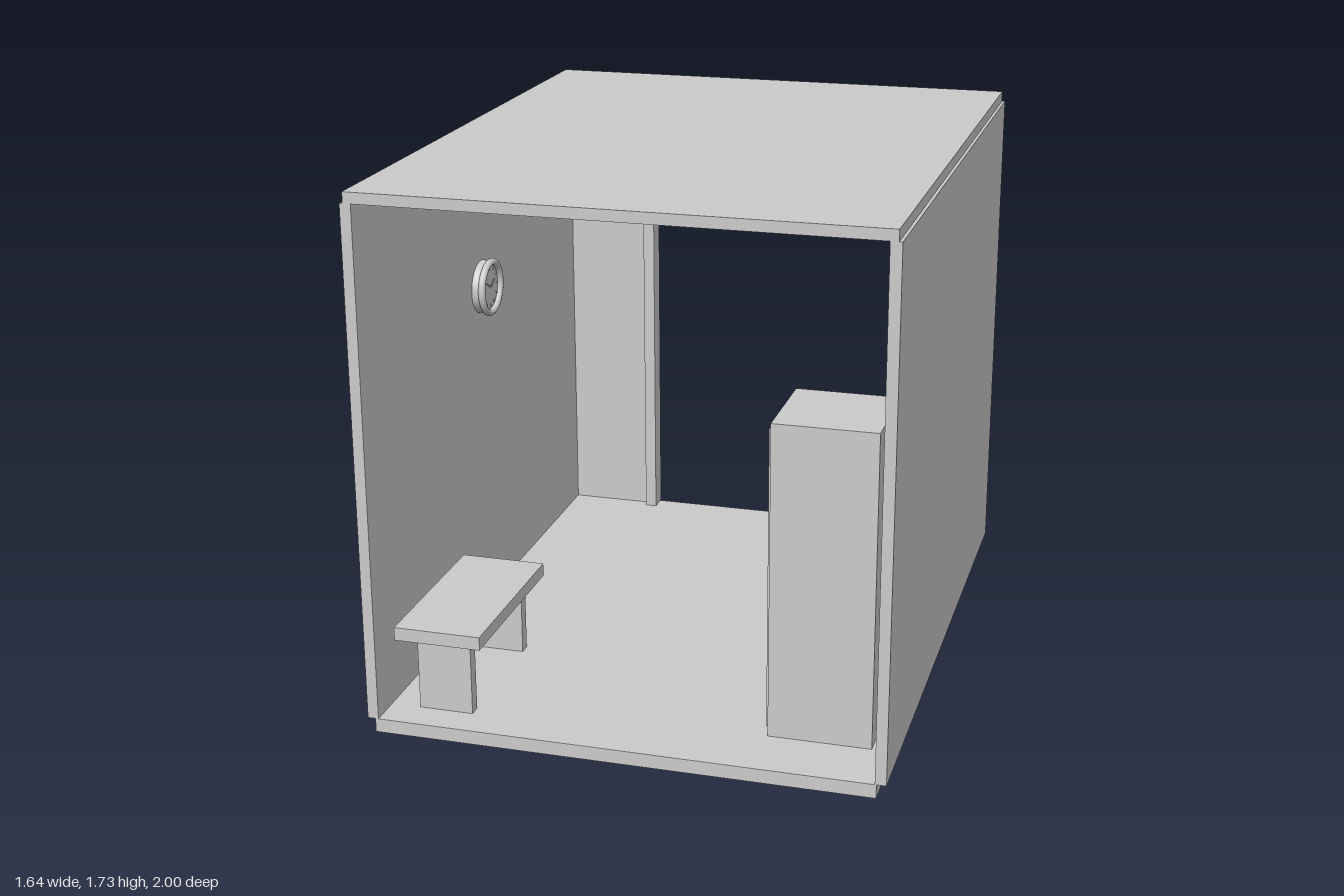
import * as THREE from 'three';

export function createModel() {
  const room = new THREE.Group();
  room.name = 'changingRoom';
  const grey = new THREE.MeshStandardMaterial({ color: 0xcccccc });
  const warm = new THREE.MeshStandardMaterial({ color: 0xe6cf9c });

  const add = (parent, name, geometry, x, y, z, material = grey) => {
    const mesh = new THREE.Mesh(geometry, material);
    mesh.name = name;
    mesh.position.set(x, y, z);
    parent.add(mesh);
    return mesh;
  };
  // Box given by its limits on each axis
  const box = (parent, name, [x0, x1], [y0, y1], [z0, z1]) =>
    add(parent, name, new THREE.BoxGeometry(x1 - x0, y1 - y0, z1 - z0),
      (x0 + x1) / 2, (y0 + y1) / 2, (z0 + z1) / 2);
  const group = (name) => {
    const g = new THREE.Group();
    g.name = name;
    room.add(g);
    return g;
  };

  // Shell: floor, roof and two-panel side walls
  box(room, 'floor', [-0.795, 0.79], [0, 0.045], [-0.99, 1]);
  box(room, 'roof', [-0.81, 0.81], [1.69, 1.725], [-0.99, 1]);
  for (const [side, x0, x1] of [['right', -0.82, -0.785], ['left', 0.785, 0.82]]) {
    box(room, side + 'LowerWall', [x0, x1], [0.045, 0.65], [-0.995, 1]);
    box(room, side + 'UpperWall', [x0, x1], [0.65, 1.69], [-0.995, 1]);
  }

  // Upside-down U, used for the back wall and the door frame
  const arch = (outer, top, inner, head, depth) => {
    const s = new THREE.Shape([
      [-outer, 0.045], [-inner, 0.045], [-inner, head], [inner, head],
      [inner, 0.045], [outer, 0.045], [outer, top], [-outer, top],
    ].map(([x, y]) => new THREE.Vector2(x, y)));
    return new THREE.ExtrudeGeometry(s, { depth, bevelEnabled: false });
  };
  add(room, 'backWall', arch(0.785, 1.69, 0.497, 1.477, 0.035), 0, 0, -0.995);
  add(room, 'doorFrame', arch(0.497, 1.477, 0.457, 1.44, 0.07), 0, 0, -1);

  // Bench by the right wall
  const bench = group('bench');
  box(bench, 'seat', [-0.74, -0.46], [0.297, 0.34], [0.36, 0.95]);
  box(bench, 'frontLeg', [-0.69, -0.515], [0.045, 0.297], [0.85, 0.89]);
  box(bench, 'backLeg', [-0.69, -0.515], [0.045, 0.297], [0.39, 0.43]);

  // Locker, its door facing the middle of the room
  const locker = group('locker');
  box(locker, 'body', [0.41, 0.735], [0.045, 1.062], [0.46, 0.79]);
  box(locker, 'door', [0.402, 0.41], [0.07, 1.04], [0.475, 0.775]);
  for (const base of [0.13, 0.9]) {
    for (let i = 0; i < 4; i++) {
      const slat = add(locker, 'ventSlat', new THREE.BoxGeometry(0.015, 0.005, 0.16),
        0.398, base + i * 0.025, 0.625);
      slat.rotation.z = 0.5;
    }
  }
  box(locker, 'handlePlate', [0.396, 0.402], [0.515, 0.575], [0.51, 0.535]);
  box(locker, 'handle', [0.385, 0.398], [0.56, 0.57], [0.51, 0.57]);

  // Notice board on the left wall
  const board = group('noticeBoard');
  const z0 = -0.46, z1 = 0.06;
  box(board, 'panel', [0.757, 0.785], [0.89, 1.21], [z0 + 0.01, z1 - 0.01]);
  for (const y of [0.88, 1.2]) box(board, 'frameRail', [0.75, 0.77], [y, y + 0.02], [z0, z1]);
  for (const z of [z0, z1 - 0.02]) box(board, 'frameStile', [0.75, 0.77], [0.9, 1.2], [z, z + 0.02]);
  for (const [z, y, w, h] of [[-0.41, 0.94, 0.09, 0.12], [-0.28, 0.93, 0.12, 0.1],
    [-0.39, 1.09, 0.13, 0.08], [-0.2, 1.06, 0.1, 0.12], [-0.08, 0.95, 0.1, 0.13]]) {
    box(board, 'notice', [0.754, 0.758], [y, y + h], [z, z + w]);
  }

  // Wall clock on the right wall, facing +x
  const clock = group('wallClock');
  clock.position.set(-0.785, 1.167, 0);
  clock.rotation.y = Math.PI / 2;
  const back = add(clock, 'case', new THREE.CylinderGeometry(0.09, 0.09, 0.03, 40), 0, 0, 0.015);
  back.rotation.x = Math.PI / 2;
  add(clock, 'rim', new THREE.TorusGeometry(0.086, 0.012, 10, 40), 0, 0, 0.034);
  for (let i = 0; i < 12; i++) {
    const a = (i * Math.PI) / 6;
    const tick = add(clock, 'hourMark', new THREE.BoxGeometry(0.004, 0.012, 0.003),
      Math.sin(a) * 0.066, Math.cos(a) * 0.066, 0.031);
    tick.rotation.z = -a;
  }
  for (const [name, angle, length] of [['hourHand', 1.05, 0.04], ['minuteHand', -1.05, 0.058]]) {
    const hand = add(clock, name, new THREE.BoxGeometry(0.005, length, 0.003),
      Math.sin(angle) * length / 2, Math.cos(angle) * length / 2, 0.034);
    hand.rotation.z = -angle;
  }

  // Ceiling lamp
  const lamp = group('ceilingLamp');
  box(lamp, 'housing', [-0.337, 0.335], [1.645, 1.69], [-0.06, 0.06]);
  const tube = add(lamp, 'tube', new THREE.CylinderGeometry(0.015, 0.015, 0.56, 20), 0, 1.64, 0, warm);
  tube.rotation.z = Math.PI / 2;

  return room;
}
